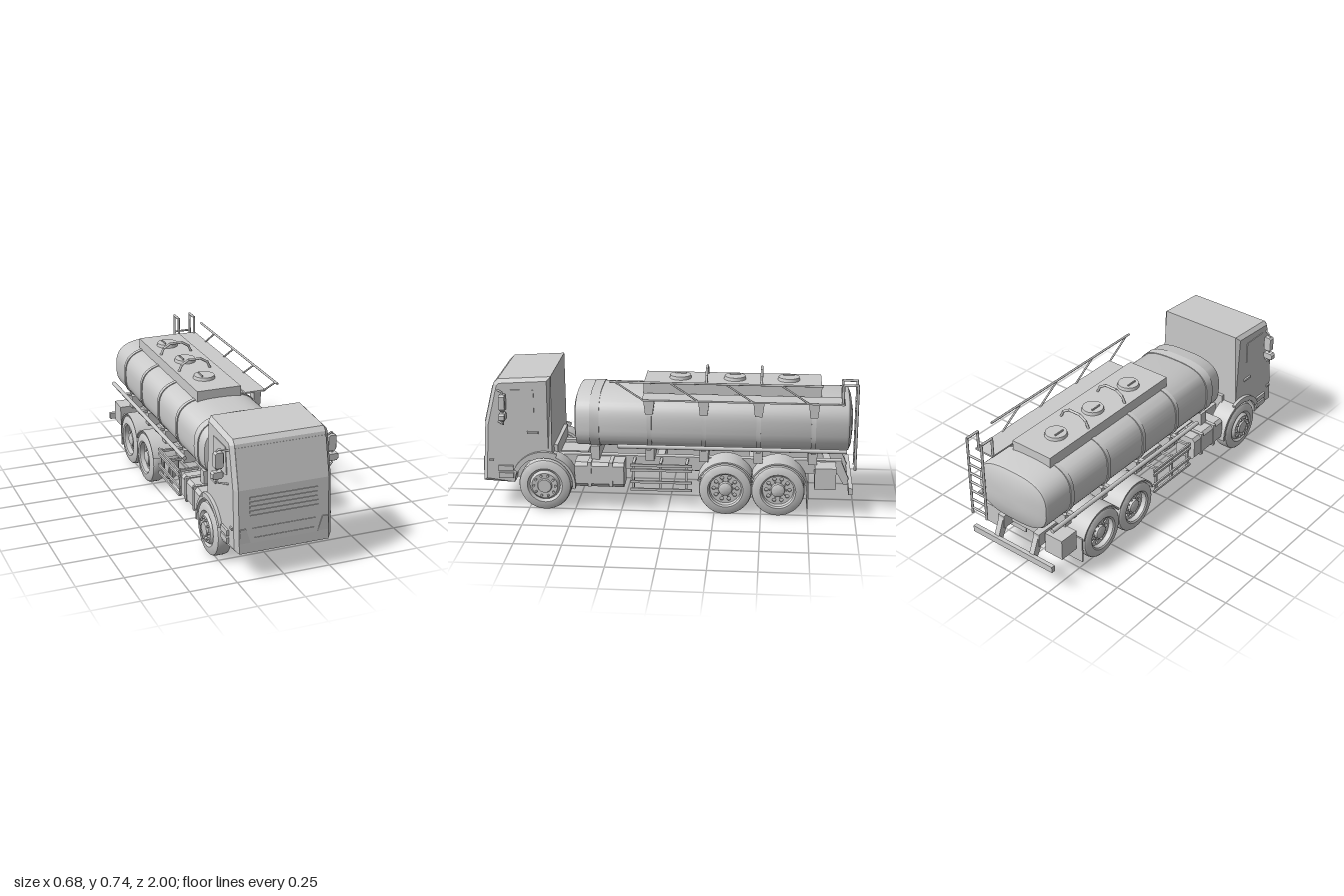
import * as THREE from 'three';
import { mergeGeometries, toCreasedNormals } from 'three/addons/utils/BufferGeometryUtils.js';

const mat = new THREE.MeshStandardMaterial({ color: 0xcccccc, side: THREE.DoubleSide });
const V = (x, y, z) => new THREE.Vector3(x, y, z);
const SIDES = [-1, 1];

function add(parent, name, geo, x = 0, y = 0, z = 0) {
  const m = new THREE.Mesh(geo, mat);
  m.name = name;
  m.position.set(x, y, z);
  parent.add(m);
  return m;
}
// box given by its extents on each axis
function box(parent, name, x0, x1, y0, y1, z0, z1) {
  return add(parent, name, new THREE.BoxGeometry(Math.abs(x1 - x0), y1 - y0, Math.abs(z1 - z0)),
    (x0 + x1) / 2, (y0 + y1) / 2, (z0 + z1) / 2);
}
// straight round bars joining points
function rod(parent, name, r, ...pts) {
  const parts = [];
  for (let i = 0; i + 1 < pts.length; i++) {
    const d = pts[i + 1].clone().sub(pts[i]);
    const g = new THREE.CylinderGeometry(r, r, d.length() + r, 8);
    g.applyQuaternion(new THREE.Quaternion().setFromUnitVectors(V(0, 1, 0), d.clone().normalize()));
    const c = pts[i].clone().add(pts[i + 1]).multiplyScalar(0.5);
    parts.push(g.translate(c.x, c.y, c.z));
  }
  return add(parent, name, mergeGeometries(parts));
}
// outline in (z, y), extruded between two x positions
function slab(shape, x0, x1, opts = {}) {
  const g = new THREE.ExtrudeGeometry(shape, { depth: x1 - x0, bevelEnabled: false, curveSegments: 20, ...opts });
  return g.rotateY(-Math.PI / 2).translate(x1, 0, 0);
}
function poly(pts) { return new THREE.Shape(pts.map(p => new THREE.Vector2(...p))); }
function arch(z, y, r0, r1, a0, a1) {
  const s = new THREE.Shape(), d = Math.PI / 180;
  s.absarc(z, y, r1, a0 * d, a1 * d, false);
  s.absarc(z, y, r0, a1 * d, a0 * d, true);
  return s;
}
// rounded-oblong sections [z, scale], listed front to back
function loft(sections, hw, hh, cy, n = 56, e = 2 / 2.9) {
  const pos = [], idx = [], p = v => Math.sign(v) * Math.abs(v) ** e;
  sections.forEach(([z, s], i) => {
    for (let j = 0; j < n; j++) {
      const a = j / n * 2 * Math.PI;
      pos.push(hw * s * p(Math.cos(a)), cy + hh * s * p(Math.sin(a)), z);
      if (i + 1 < sections.length) {
        const k = (j + 1) % n, q = i * n;
        idx.push(q + j, q + n + j, q + k, q + k, q + n + j, q + n + k);
      }
    }
  });
  const g = new THREE.BufferGeometry();
  g.setAttribute('position', new THREE.Float32BufferAttribute(pos, 3));
  g.setIndex(idx);
  return toCreasedNormals(g, 0.6);
}
function lathe(pts, seg = 40) {
  const g = new THREE.LatheGeometry(pts.map(p => new THREE.Vector2(...p)), seg);
  return toCreasedNormals(g.rotateZ(-Math.PI / 2), 0.6);
}

// wheel with its outer face toward +x
function wheel(parent, name, side, x0, x1, z, front) {
  const w = new THREE.Group();
  w.name = name;
  w.position.set(0, 0.142, z);
  if (side < 0) w.rotation.y = Math.PI;
  const face = front ? [[0.082, x1 - 0.012], [0.07, x1 + 0.006], [0.04, x1 + 0.004], [0.036, x1 + 0.014], [0, x1 + 0.014]]
    : [[0.086, x1 - 0.006], [0.08, x1 - 0.055], [0, x1 - 0.055]];
  add(w, 'tyre', lathe([[0, x0 + 0.006], [0.085, x0 + 0.006], [0.095, x0], [0.13, x0 + 0.004], [0.138, x0 + 0.01],
    [0.142, x0 + 0.022], [0.142, x1 - 0.022], [0.138, x1 - 0.01], [0.13, x1 - 0.004], [0.095, x1], ...face]));
  const bolt = (r, rad, len, x) => {
    for (let i = 0; i < 10; i++) {
      const a = i / 10 * 2 * Math.PI;
      const g = new THREE.CylinderGeometry(rad, rad, len, 8).rotateZ(Math.PI / 2);
      add(w, 'wheelBolt', g, x, r * Math.sin(a), r * Math.cos(a));
    }
  };
  if (front) bolt(0.058, 0.007, 0.014, x1 + 0.008);
  else {
    const rim = new THREE.Shape().absarc(0, 0, 0.083, 0, 2 * Math.PI, false);
    for (let i = 0; i < 10; i++) {
      const a = i / 10 * 2 * Math.PI;
      rim.holes.push(new THREE.Path().absarc(0.062 * Math.cos(a), 0.062 * Math.sin(a), 0.01, 0, 2 * Math.PI, true));
    }
    add(w, 'rimDisc', slab(rim, x1 - 0.04, x1 - 0.032, { curveSegments: 12 }));
    add(w, 'hub', lathe([[0.04, x1 - 0.04], [0.036, x1 - 0.015], [0.022, x1 - 0.008], [0, x1 - 0.008]], 20));
    bolt(0.045, 0.004, 0.012, x1 - 0.028);
  }
  parent.add(w);
}

function buildCab(root) {
  const cab = new THREE.Group();
  cab.name = 'cab';
  root.add(cab);
  // body: side outline with wheel arch, chamfered only round the roof and front
  const s = poly([[0.62, 0.74], [0.62, 0.306]]);
  s.absarc(0.66, 0.145, 0.165, 1.815, 0.03, true);
  [[0.997, 0.15], [0.995, 0.2], [0.978, 0.48], [0.925, 0.7], [0.903, 0.722]].forEach(p => s.lineTo(...p));
  const b = 0.02, g = slab(s, -0.26 + b, 0.26 - b, { bevelEnabled: true, bevelSize: b, bevelThickness: b, bevelOffset: -b, bevelSegments: 1 });
  const p = g.attributes.position;
  for (let i = 0; i < p.count; i++) {
    const y = p.getY(i), z = p.getZ(i);
    if (!(y > 0.65 && z > 0.61) && z < 0.9) p.setX(i, Math.sign(p.getX(i)) * 0.26);
  }
  g.computeVertexNormals();
  add(cab, 'cabBody', g);
  box(cab, 'cabFloor', -0.18, 0.18, 0.15, 0.34, 0.6, 0.84);
  // front panels lie on the sloping face
  const panel = (name, w, h, y, t = 0.006) => {
    const up = y > 0.48, k = up ? -0.053 / 0.22 : -0.017 / 0.28;
    const m = add(cab, name, new THREE.BoxGeometry(w, h, t), 0, y, 0.978 + k * (y - 0.48));
    m.rotation.x = Math.atan(k);
    return m;
  };
  panel('windscreen', 0.48, 0.205, 0.583);
  for (let i = 0; i < 5; i++) panel('grilleSlat', 0.365, 0.012, 0.34 + i * 0.0235, 0.01);
  panel('upperIntake', 0.34, 0.024, 0.266, 0.008);
  panel('lowerIntake', 0.32, 0.024, 0.216, 0.008);
  for (const d of SIDES) {
    const lamp = poly([[0.18 * d, 0.203], [0.24 * d, 0.203], [0.235 * d, 0.28], [0.205 * d, 0.28]]);
    add(cab, 'headlamp', new THREE.ExtrudeGeometry(lamp, { depth: 0.012, bevelEnabled: false }), 0, 0, 0.984);
    const w = poly([[0.71, 0.67], [0.865, 0.67], [0.885, 0.53], [0.8, 0.515], [0.71, 0.545]]);
    const x = d * 0.26;
    add(cab, 'doorWindow', slab(w, x - 0.004, x + 0.004));
    box(cab, 'doorHandle', x, x + d * 0.01, 0.428, 0.44, 0.69, 0.75);
    box(cab, 'sideLamp', x, x + d * 0.008, 0.268, 0.28, 0.935, 0.96);
    for (const y of [0.175, 0.215]) box(cab, 'step', x - d * 0.02, x + d * 0.012, y, y + 0.03, 0.83, 0.91);
    // wheel-arch lip and rear mudguard
    add(cab, 'archLip', slab(arch(0.66, 0.145, 0.158, 0.185, 25, 112), Math.min(x, d * 0.278), Math.max(x, d * 0.278)));
    add(cab, 'frontMudguard', slab(arch(0.66, 0.145, 0.15, 0.165, 60, 188), d > 0 ? 0.17 : -0.275, d > 0 ? 0.275 : -0.17));
    // mirrors on a tubular bracket
    rod(cab, 'mirrorBracket', 0.005, V(x, 0.665, 0.9), V(d * 0.3, 0.665, 0.87), V(d * 0.309, 0.655, 0.868),
      V(d * 0.309, 0.5, 0.868), V(d * 0.3, 0.49, 0.87), V(x, 0.49, 0.9));
    const mirror = (name, x0, x1, y0, y1) => {
      const c = 0.01, o = poly([[x0 + c, y0], [x1 - c, y0], [x1, y0 + c], [x1, y1 - c], [x1 - c, y1], [x0 + c, y1], [x0, y1 - c], [x0, y0 + c]]);
      const m = add(cab, name, new THREE.ExtrudeGeometry(o, { depth: 0.02, bevelSize: 0.004, bevelThickness: 0.006, bevelSegments: 1, bevelOffset: -0.004 }), 0, 0, 0.86);
      if (d < 0) m.position.x = -(x0 + x1);
    };
    mirror('mainMirror', 0.276, 0.325, 0.566, 0.656);
    mirror('wideMirror', 0.277, 0.339, 0.513, 0.556);
  }
}

function buildTank(root) {
  const tank = new THREE.Group();
  tank.name = 'tank';
  root.add(tank);
  add(tank, 'tankShell', loft([[0.516, 0.001], [0.513, 0.4], [0.506, 0.8], [0.496, 0.985], [0.49, 1], [-0.945, 1], [-0.957, 0.97], [-0.97, 0.8], [-0.98, 0.4], [-0.983, 0.001]], 0.23, 0.155, 0.475));
  const ribs = [0.1, -0.19, -0.48, -0.77];
  for (const z of [0.395, ...ribs]) {
    const h = z > 0.3 ? 0.026 : 0.012;
    add(tank, 'tankBand', loft([[z + h, 1], [z + h, 1.025], [z - h, 1.025], [z - h, 1]], 0.23, 0.155, 0.475));
    box(tank, 'saddle', -0.2, 0.2, 0.27, 0.345, z - 0.024, z + 0.024);
  }
  // manhole housing with lids and hoops
  box(tank, 'manholeHousing', -0.127, 0.122, 0.6, 0.678, -0.81, 0.14);
  for (const z of [0.05, 0.345, 0.635]) {
    add(tank, 'manholeLid', new THREE.CylinderGeometry(0.056, 0.06, 0.018, 28), -0.015, 0.686, -z);
    box(tank, 'lidHandle', -0.039, -0.033, 0.69, 0.703, -z - 0.03, -z + 0.03);
  }
  for (const z of [-0.195, -0.49]) {
    rod(tank, 'hoop', 0.007, V(-0.107, 0.675, z), V(-0.09, 0.712, z), V(-0.05, 0.736, z), V(0.02, 0.736, z), V(0.06, 0.712, z), V(0.077, 0.675, z));
  }
  // walkway with brackets and sloping-post handrail
  box(tank, 'walkway', 0.15, 0.268, 0.625, 0.634, -0.93, 0.135);
  for (const z of ribs) {
    add(tank, 'walkwayBracket', slab(poly([[z - 0.03, 0.627], [z - 0.02, 0.545], [z + 0.02, 0.545], [z + 0.03, 0.627]]), 0.205, 0.245));
    rod(tank, 'railPost', 0.005, V(0.262, 0.63, z + 0.03), V(0.262, 0.725, z + 0.175));
  }
  rod(tank, 'handrail', 0.006, V(0.262, 0.726, 0.3), V(0.262, 0.726, -0.81));
  // rear ladder
  for (const x of [0.16, 0.258]) {
    rod(tank, 'ladderStile', 0.007, V(x, 0.625, -0.917), V(x, 0.732, -0.917), V(x, 0.732, -0.992), V(x, 0.27, -0.992));
  }
  for (let i = 0; i < 7; i++) rod(tank, 'ladderRung', 0.006, V(0.16, 0.3 + i * 0.055, -0.992), V(0.258, 0.3 + i * 0.055, -0.992));
  // hose tubes along both flanks
  for (const d of SIDES) {
    rod(tank, 'hoseTube', 0.012, V(d * 0.248, 0.365, 0.26), V(d * 0.248, 0.365, -0.94));
    for (const z of ribs) box(tank, 'hoseClamp', d * 0.2, d * 0.25, 0.345, 0.36, z - 0.012, z + 0.012);
  }
}

function buildChassis(root) {
  const ch = new THREE.Group();
  ch.name = 'chassis';
  root.add(ch);
  for (const z of [0.42, 0.05, -0.45, -0.85]) box(ch, 'crossMember', -0.12, 0.12, 0.21, 0.26, z - 0.02, z + 0.02);
  rod(ch, 'driveShaft', 0.014, V(0, 0.2, 0.6), V(0, 0.15, -0.31), V(0, 0.145, -0.59));
  box(ch, 'gearbox', -0.07, 0.07, 0.13, 0.27, 0.45, 0.62);
  for (const z of [0.66, -0.31, -0.59]) {
    rod(ch, 'axle', 0.025, V(-0.2, 0.142, z), V(0.2, 0.142, z));
    if (z < 0) add(ch, 'differential', new THREE.SphereGeometry(0.068, 24, 16), 0, 0.145, z);
  }
  for (const d of SIDES) {
    box(ch, 'frameRail', d * 0.1, d * 0.14, 0.2, 0.275, -0.93, 0.64);
    wheel(ch, 'frontWheel', d, 0.19, 0.28, 0.66, true);
    for (const z of [-0.31, -0.59]) {
      wheel(ch, 'rearOuterWheel', d, 0.197, 0.28, z, false);
      wheel(ch, 'rearInnerWheel', d, 0.112, 0.19, z, false);
      const m = z > -0.4 ? [18, 152] : [28, 165];
      add(ch, 'rearMudguard', slab(arch(z, 0.142, 0.148, 0.156, ...m), d > 0 ? 0.11 : -0.275, d > 0 ? 0.275 : -0.11));
    }
    box(ch, 'mudflap', d * 0.12, d * 0.272, 0.05, 0.2, -0.752, -0.744);
    box(ch, 'rearLocker', d * 0.15, d * 0.262, 0.155, 0.272, -0.895, -0.782);
    // fuel tank with straps
    const o = poly([[0.13, 0.13], [0.24, 0.13], [0.256, 0.15], [0.256, 0.25], [0.24, 0.268], [0.13, 0.268]].map(([x, y]) => [x * d, y]));
    add(ch, 'fuelTank', new THREE.ExtrudeGeometry(o, { depth: 0.265, bevelEnabled: false }), 0, 0, 0.235);
    for (const z of [0.305, 0.42]) box(ch, 'tankStrap', d * 0.13, d * 0.26, 0.135, 0.273, z - 0.01, z + 0.01);
    // side guard
    for (const y of [0.262, 0.235, 0.168, 0.125]) box(ch, 'guardRail', d * 0.248, d * 0.258, y - 0.007, y + 0.007, -0.13, 0.2);
    for (const z of [0.185, 0.04, -0.1]) {
      box(ch, 'guardPost', d * 0.238, d * 0.25, 0.115, 0.272, z - 0.007, z + 0.007);
      box(ch, 'guardArm', d * 0.12, d * 0.25, 0.255, 0.268, z - 0.007, z + 0.007);
    }
    // rear bumper arm
    add(ch, 'bumperArm', slab(poly([[-0.9, 0.26], [-0.93, 0.26], [-0.97, 0.165], [-0.97, 0.14], [-0.94, 0.14], [-0.9, 0.21]]), d * 0.12 - 0.015, d * 0.12 + 0.015));
  }
  box(ch, 'rearBumper', -0.27, 0.27, 0.132, 0.168, -0.985, -0.962);
}

export function createModel() {
  const root = new THREE.Group();
  root.name = 'tankerTruck';
  buildCab(root);
  buildTank(root);
  buildChassis(root);
  return root;
}
